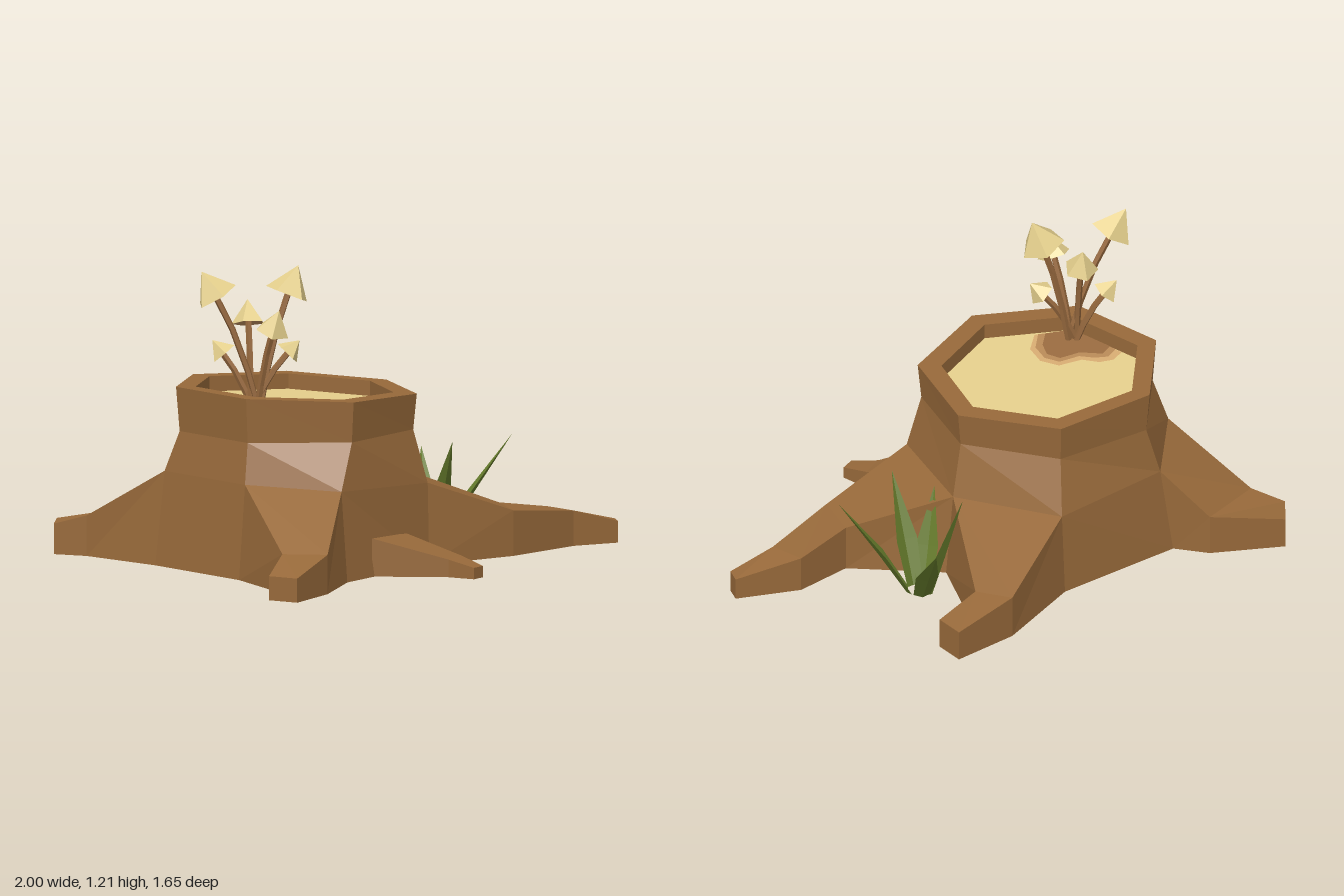
import * as THREE from 'three';

const mat = (name, color) => {
  const m = new THREE.MeshStandardMaterial({ color, side: THREE.DoubleSide, flatShading: true });
  m.name = name;
  return m;
};

const GROUND = 0.01;
const rimY = (x) => 0.687 - 0.047 * (x + 0.1);
const floorY = (x) => rimY(x) - 0.06;

// Collects quads and triangles of [x, y, z] points into one geometry
function faces() {
  const pos = [];
  const tri = (a, b, c) => pos.push(...a, ...b, ...c);
  return {
    tri,
    quad(a, b, c, d) { tri(a, b, c); tri(a, c, d); },
    geometry() {
      const g = new THREE.BufferGeometry();
      g.setAttribute('position', new THREE.Float32BufferAttribute(pos, 3));
      g.computeVertexNormals();
      return g;
    },
  };
}

export function createModel() {
  const bark = mat('bark', 0x97693a);
  const wood = mat('cut wood', 0xe6cf8c);
  const stainPale = mat('pale stain', 0xd8ac72);
  const stainMid = mat('middle stain', 0xb98a58);
  const stainDark = mat('dark stain', 0x9a6c40);
  const leaf = mat('leaf green', 0x657a2b);
  const capMat = mat('mushroom cap', 0xe4cf8c);
  const gillMat = mat('mushroom gills', 0xbc8e5c);
  const stemMat = mat('mushroom stem', 0x97693e);

  const model = new THREE.Group();
  model.name = 'treeStump';
  const add = (name, geometry, material, parent = model) => {
    const mesh = new THREE.Mesh(geometry, material);
    mesh.name = name;
    parent.add(mesh);
  };

  // Trunk rings, seven corners each, running from +x towards +z
  const outline = [[0.21, 0.01], [0.03, 0.39], [-0.38, 0.48], [-0.70, 0.21],
    [-0.70, -0.20], [-0.38, -0.46], [0.03, -0.37]];
  const innerOutline = [[0.125, 0.01], [-0.025, 0.315], [-0.36, 0.395], [-0.625, 0.175],
    [-0.625, -0.17], [-0.36, -0.385], [-0.02, -0.305]];
  const rim = outline.map(([x, z]) => [x, rimY(x), z]);
  const neck = outline.map(([x, z]) => [-0.25 + (x + 0.25) * 0.97, 0.54, z * 0.97]);
  const flare = [[0.25, 0.33, 0], [0.06, 0.33, 0.42], [-0.47, 0.36, 0.51], [-0.715, 0.38, 0.22],
    [-0.715, 0.38, -0.25], [-0.42, 0.35, -0.48], [0.08, 0.33, -0.42]];
  const base = [[0.29, 0], [0.05, 0.44], [-0.48, 0.555], [-0.755, 0.23],
    [-0.755, -0.26], [-0.45, -0.52], [0.09, -0.445]].map(([x, z]) => [x, GROUND, z]);
  const lip = innerOutline.map(([x, z]) => [x, rimY(x), z]);
  const floor = innerOutline.map(([x, z]) => [x, floorY(x), z]);

  const trunk = faces();
  const band = (lo, hi, i) => {
    const j = (i + 1) % 7;
    trunk.quad(lo[i], hi[i], hi[j], lo[j]);
  };
  for (let i = 0; i < 7; i++) {
    if (i % 2 === 1) band(base, flare, i); // the other sides grow into roots
    band(flare, neck, i);
    band(neck, rim, i);
    band(rim, lip, i);
    band(lip, floor, i);
  }
  add('trunk', trunk.geometry(), bark);

  // Root: starts at two trunk points, then sections of [right, left, height]
  function root(name, [startR, startL], [baseR, baseL], sections) {
    const f = faces();
    let r = startR, l = startL, rb = baseR, lb = baseL;
    for (const [[rx, rz], [lx, lz], h] of sections) {
      const r2 = [rx, h, rz], l2 = [lx, h, lz];
      const rb2 = [rx, GROUND, rz], lb2 = [lx, GROUND, lz];
      f.quad(r2, r, l, l2);
      f.quad(rb2, rb, r, r2);
      f.quad(lb, lb2, l2, l);
      [r, l, rb, lb] = [r2, l2, rb2, lb2];
    }
    f.quad(lb, rb, r, l);
    add(name, f.geometry(), bark);
  }
  const trunkRoot = (name, i, sections) => {
    const j = (i + 1) % 7;
    root(name, [flare[i], flare[j]], [base[i], base[j]], sections);
  };
  trunkRoot('frontLeftRoot', 0, [[[0.53, 0.31], [0.44, 0.495], 0.19],
    [[0.775, 0.32], [0.78, 0.465], 0.15], [[1.0, 0.46], [0.965, 0.52], 0.095]]);
  trunkRoot('frontRightRoot', 2, [[[-0.73, 0.72], [-0.85, 0.59], 0.165],
    [[-0.96, 0.8], [-1.0, 0.68], 0.105]]);
  trunkRoot('backRightRoot', 4, [[[-0.80, -0.61], [-0.52, -0.65], 0.17],
    [[-0.865, -0.73], [-0.76, -0.83], 0.13]]);
  trunkRoot('backLeftRoot', 6, [[[0.49, -0.535], [0.55, -0.395], 0.18],
    [[0.77, -0.51], [0.745, -0.385], 0.13]]);
  root('smallFrontRoot', [[-0.08, 0.15, 0.45], [-0.31, 0.16, 0.51]],
    [[-0.08, GROUND, 0.46], [-0.31, GROUND, 0.51]],
    [[[0, 0.69], [-0.10, 0.72], 0.08], [[0, 0.81], [-0.06, 0.825], 0.055]]);

  // Flat patches lying on the sunken cut surface
  function patch(name, points, lift, material) {
    const f = faces();
    const p = points.map(([x, z]) => [x, floorY(x) + lift, z]);
    for (let i = 1; i < p.length - 1; i++) f.tri(p[0], p[i + 1], p[i]);
    add(name, f.geometry(), material);
  }
  patch('cutSurface', innerOutline, 0, wood);
  patch('outerStain', [[-0.62, 0.17], [-0.62, -0.09], [-0.56, -0.105], [-0.51, -0.075], [-0.48, -0.01],
    [-0.39, 0.03], [-0.37, 0.11], [-0.41, 0.2], [-0.5, 0.26]], 0.002, stainPale);
  patch('middleStain', [[-0.62, 0.17], [-0.62, -0.06], [-0.56, -0.075], [-0.52, -0.04], [-0.49, 0.015],
    [-0.41, 0.045], [-0.395, 0.11], [-0.43, 0.19], [-0.51, 0.25]], 0.004, stainMid);
  patch('innerStain', [[-0.62, 0.17], [-0.62, -0.03], [-0.56, -0.045], [-0.51, 0.03],
    [-0.43, 0.06], [-0.42, 0.12], [-0.46, 0.18], [-0.53, 0.23]], 0.006, stainDark);

  // Mushrooms: tip position, cap radius, cap height
  const mushrooms = new THREE.Group();
  mushrooms.name = 'mushrooms';
  model.add(mushrooms);
  const up = new THREE.Vector3(0, 1, 0);
  [
    [-0.41, 1.21, 0.19, 0.09, 0.12], [-0.755, 1.2, 0.01, 0.087, 0.115],
    [-0.59, 1.06, 0.28, 0.068, 0.095], [-0.55, 1.075, 0.05, 0.068, 0.095],
    [-0.43, 0.92, 0.22, 0.054, 0.07], [-0.68, 0.92, -0.01, 0.054, 0.07],
  ].forEach(([x, y, z, r, h], i) => {
    const tip = new THREE.Vector3(x, y, z);
    const a = i * Math.PI / 3;
    const foot = new THREE.Vector3(-0.58 + 0.02 * Math.cos(a), 0.63, 0.13 + 0.02 * Math.sin(a));
    const bend = foot.clone().lerp(tip, 0.32);
    bend.y += 0.22 * (y - foot.y);
    const dir = tip.clone().sub(bend).normalize();
    const neckEnd = tip.clone().addScaledVector(dir, -h * 0.7);
    const curve = new THREE.QuadraticBezierCurve3(foot, bend, neckEnd);
    add('mushroomStem', new THREE.TubeGeometry(curve, 3, 0.013, 5), stemMat, mushrooms);

    const cap = new THREE.Group();
    cap.name = 'mushroomCap';
    cap.position.copy(tip).addScaledVector(dir, -h / 2);
    cap.quaternion.setFromUnitVectors(up, dir);
    cap.rotateY(i * 0.9);
    mushrooms.add(cap);
    add('capTop', new THREE.ConeGeometry(r, h, 5, 1, true), capMat, cap);
    const gills = new THREE.ConeGeometry(r, h * 0.15, 5, 1, true);
    gills.translate(0, -h * 0.425, 0);
    add('capGills', gills, gillMat, cap);
  });

  // Grass tuft: creased blades fanning out from one spot
  const tuft = new THREE.Group();
  tuft.name = 'grassTuft';
  model.add(tuft);
  const centre = new THREE.Vector3(0.455, 0, -0.015);
  for (const [x, y, z] of [[0.655, 0.33, -0.285], [0.41, 0.455, -0.2], [0.72, 0.425, 0.175],
    [0.385, 0.43, 0.2], [0.27, 0.36, 0.08]]) {
    const out = new THREE.Vector3(x - centre.x, 0, z - centre.z);
    const reach = out.length();
    out.normalize();
    const side = new THREE.Vector3(-out.z, 0, out.x);
    const at = (along, height, across) => centre.clone()
      .addScaledVector(out, along).addScaledVector(side, across).setY(height).toArray();
    const section = (along, height, w) =>
      [at(along, height, -w), at(along + w * 0.4, height - w * 0.2, 0), at(along, height, w)];
    const low = section(0.04, 0.008, 0.034);
    const mid = section(0.04 + (reach - 0.04) * 0.35, y * 0.42, 0.045);
    const tip = at(reach, y, 0);
    const f = faces();
    for (let k = 0; k < 2; k++) {
      f.quad(low[k + 1], low[k], mid[k], mid[k + 1]);
      f.tri(mid[k + 1], mid[k], tip);
    }
    add('grassBlade', f.geometry(), leaf, tuft);
  }

  return model;
}
